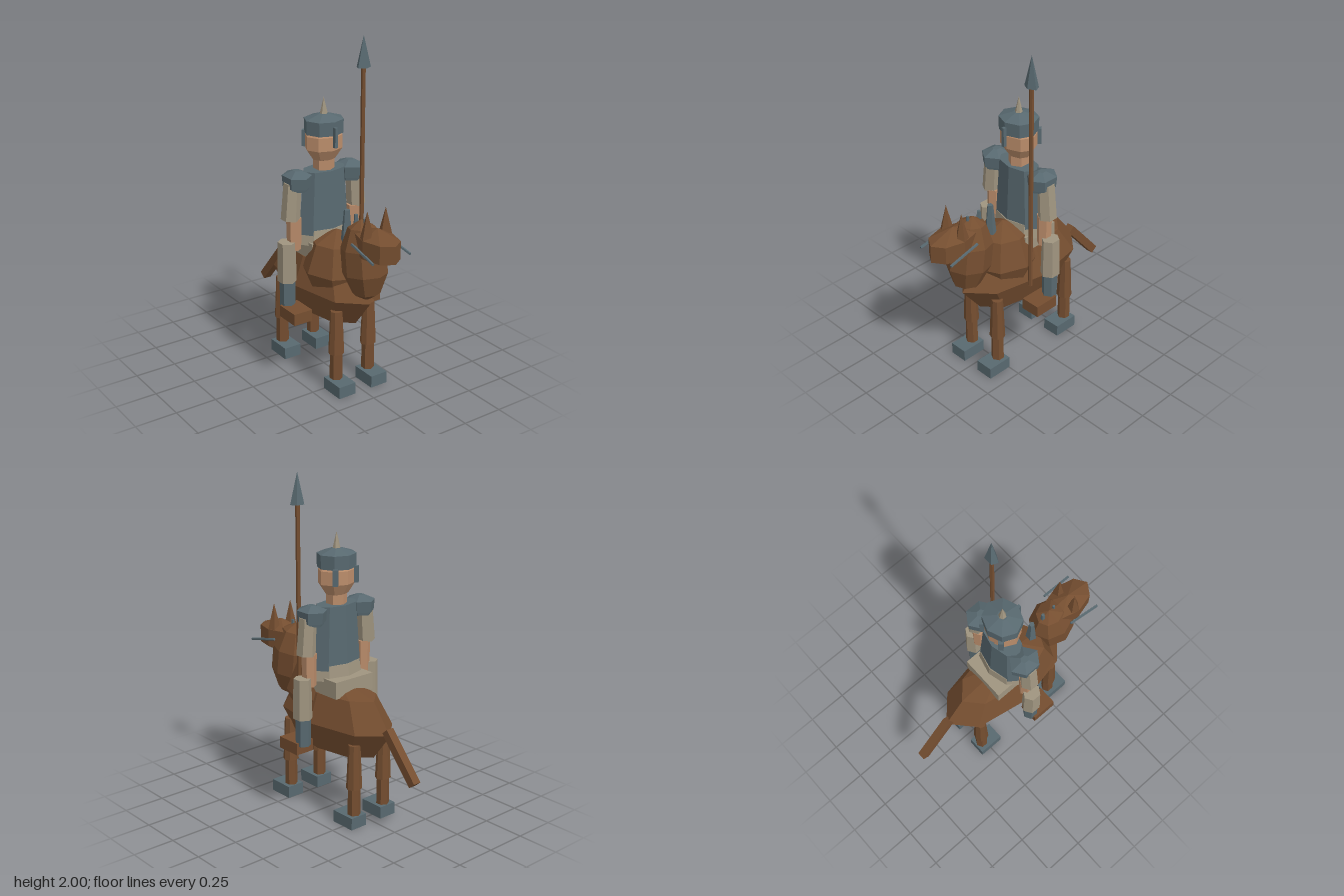
import * as THREE from 'three';

const mat = (name, color) => {
  const m = new THREE.MeshStandardMaterial({ color, flatShading: true });
  m.name = name;
  return m;
};

export function createModel() {
  const root = new THREE.Group();
  root.name = 'mountedRider';
  const brown = mat('horseBrown', 0x754e30);
  const steel = mat('steelGrey', 0x586970);
  const cloth = mat('khakiCloth', 0xa09580);
  const skin = mat('skinTan', 0xbb8d6b);
  const horse = new THREE.Group(), rider = new THREE.Group();
  horse.name = 'horse';
  rider.name = 'rider';
  root.add(horse, rider);

  // helpers: place a geometry, and the common primitives
  const add = (parent, name, geo, m, x, y, z) => {
    const mesh = new THREE.Mesh(geo, m);
    mesh.name = name;
    mesh.position.set(x, y, z);
    parent.add(mesh);
    return mesh;
  };
  const box = (p, name, m, w, h, d, x, y, z) => add(p, name, new THREE.BoxGeometry(w, h, d), m, x, y, z);
  const ball = (p, name, m, rings, r, pos) => {
    const mesh = add(p, name, new THREE.SphereGeometry(1, 8, rings), m, ...pos);
    mesh.scale.set(...r);
    return mesh;
  };
  // tapered prism between two heights
  const prism = (p, name, m, rTop, rBot, y0, y1, x, z, n = 6, sx = 1, sz = 1) => {
    const g = new THREE.CylinderGeometry(rTop, rBot, y1 - y0, n);
    g.scale(sx, 1, sz);
    return add(p, name, g, m, x, (y0 + y1) / 2, z);
  };
  // part laid from point a to point b
  const between = (p, name, geoOf, m, a, b) => {
    const A = new THREE.Vector3(...a), B = new THREE.Vector3(...b);
    const mid = A.clone().add(B).multiplyScalar(0.5);
    const mesh = add(p, name, geoOf(A.distanceTo(B)), m, mid.x, mid.y, mid.z);
    mesh.quaternion.setFromUnitVectors(new THREE.Vector3(0, 1, 0), B.sub(A).normalize());
    return mesh;
  };

  // horse body, withers, neck and head
  ball(horse, 'body', brown, 4, [0.205, 0.24, 0.45], [0, 0.57, 0]);
  ball(horse, 'withers', brown, 4, [0.2, 0.23, 0.22], [0, 0.69, 0.13]);
  ball(horse, 'neck', brown, 5, [0.128, 0.235, 0.145], [0, 0.82, 0.39]).rotation.x = -0.13;
  ball(horse, 'horseHead', brown, 3, [0.115, 0.106, 0.185], [0, 0.943, 0.507]);
  between(horse, 'tail', (l) => new THREE.BoxGeometry(0.05, l, 0.05), brown, [0, 0.6, -0.43], [0, 0.345, -0.65]);

  // mane spikes
  [[0.395, 0.017], [0.312, 0.022], [0.225, 0.034]].forEach(([z, r]) =>
    prism(horse, 'maneSpike', steel, r * 0.5, r, 0.88, 1.065, 0, z, 5));

  // hollow hoof outline
  const rect = (T, w, d) => {
    const s = new T();
    s.moveTo(-w, -d); s.lineTo(w, -d); s.lineTo(w, d); s.lineTo(-w, d); s.closePath();
    return s;
  };
  const hoofShape = rect(THREE.Shape, 0.056, 0.078);
  hoofShape.holes.push(rect(THREE.Path, 0.03, 0.042));
  const hoofGeo = new THREE.ExtrudeGeometry(hoofShape, { depth: 0.05, bevelEnabled: false });
  hoofGeo.rotateX(-Math.PI / 2);

  for (const s of [1, -1]) {
    // ears and bit rods
    add(horse, 'horseEar', new THREE.ConeGeometry(0.04, 0.16, 5), brown, s * 0.062, 1.075, 0.495);
    between(horse, 'bitRod', (l) => new THREE.CylinderGeometry(0.008, 0.008, l, 5), steel,
      [s * 0.115, 0.955, 0.43], [s * 0.125, 0.912, 0.635]);

    // horse legs
    for (const z of [0.288, -0.28]) {
      const x = s * 0.113;
      prism(horse, 'upperLeg', brown, 0.036, 0.048, 0.235, 0.5, x, z, 8, 1, 0.92);
      prism(horse, 'lowerLeg', brown, 0.036, 0.038, 0.06, 0.26, x, z, 6);
      add(horse, 'hoof', hoofGeo, steel, x, 0, z + 0.035);
      box(horse, 'hoofTop', steel, 0.112, 0.022, 0.156, x, 0.061, z + 0.035);
    }

    // rider arms
    between(rider, 'upperArm', (l) => new THREE.CylinderGeometry(0.05, 0.055, l, 6), cloth,
      [s * 0.228, 0.985, 0], [s * 0.212, 1.2, 0]);
    prism(rider, 'forearm', skin, 0.044, 0.04, 0.8, 0.99, s * 0.205, 0);

    // shoulder plates
    prism(rider, 'shoulderBand', steel, 0.075, 0.07, 1.175, 1.24, s * 0.182, 0, 6, 1.08, 1.27);
    prism(rider, 'shoulderCap', steel, 0.02, 0.075, 1.24, 1.268, s * 0.182, 0, 6, 1.08, 1.27);
    prism(rider, 'shoulderLayer', steel, 0.064, 0.06, 1.155, 1.18, s * 0.182, 0, 6, 1.05, 1.2);

    // rider legs
    prism(rider, 'thigh', cloth, 0.05, 0.054, 0.615, 0.855, s * 0.256, 0, 6, 1, 1.1);
    prism(rider, 'shin', steel, 0.046, 0.044, 0.45, 0.62, s * 0.253, 0);
    box(rider, 'foot', brown, 0.12, 0.07, 0.155, s * 0.245, 0.435, 0.073);

    // plates guarding the back corners of the head
    box(rider, 'neckGuard', steel, 0.03, 0.095, 0.025, s * 0.078, 1.42, -0.08).rotation.y = s * -0.75;
  }

  // saddle and hips
  box(rider, 'saddle', cloth, 0.28, 0.1, 0.24, 0, 0.79, -0.035);
  prism(rider, 'hips', cloth, 0.16, 0.175, 0.82, 0.91, 0, 0, 8, 1, 0.63);

  // torso, neck and head
  prism(rider, 'cuirass', steel, 0.14, 0.17, 0.88, 1.25, 0, 0, 8, 1, 0.57);
  prism(rider, 'neck', skin, 0.06, 0.06, 1.22, 1.34, 0, 0, 6);
  ball(rider, 'head', skin, 5, [0.12, 0.125, 0.1], [0, 1.41, 0]);

  // helmet
  prism(rider, 'helmetBand', steel, 0.117, 0.115, 1.46, 1.54, 0, 0, 8, 1, 0.92);
  prism(rider, 'helmetDome', steel, 0.03, 0.117, 1.54, 1.568, 0, 0, 8, 1, 0.92);
  add(rider, 'helmetSpike', new THREE.ConeGeometry(0.026, 0.11, 6), cloth, 0, 1.607, 0);
  box(rider, 'noseGuard', steel, 0.018, 0.115, 0.022, 0, 1.453, 0.113);

  // spear
  prism(root, 'spearShaft', brown, 0.013, 0.013, 0.546, 1.83, 0.196, 0.1, 6);
  const tip = add(root, 'spearTip', new THREE.ConeGeometry(0.046, 0.18, 5), steel, 0.196, 1.91, 0.1);
  tip.scale.z = 0.72;

  return root;
}
